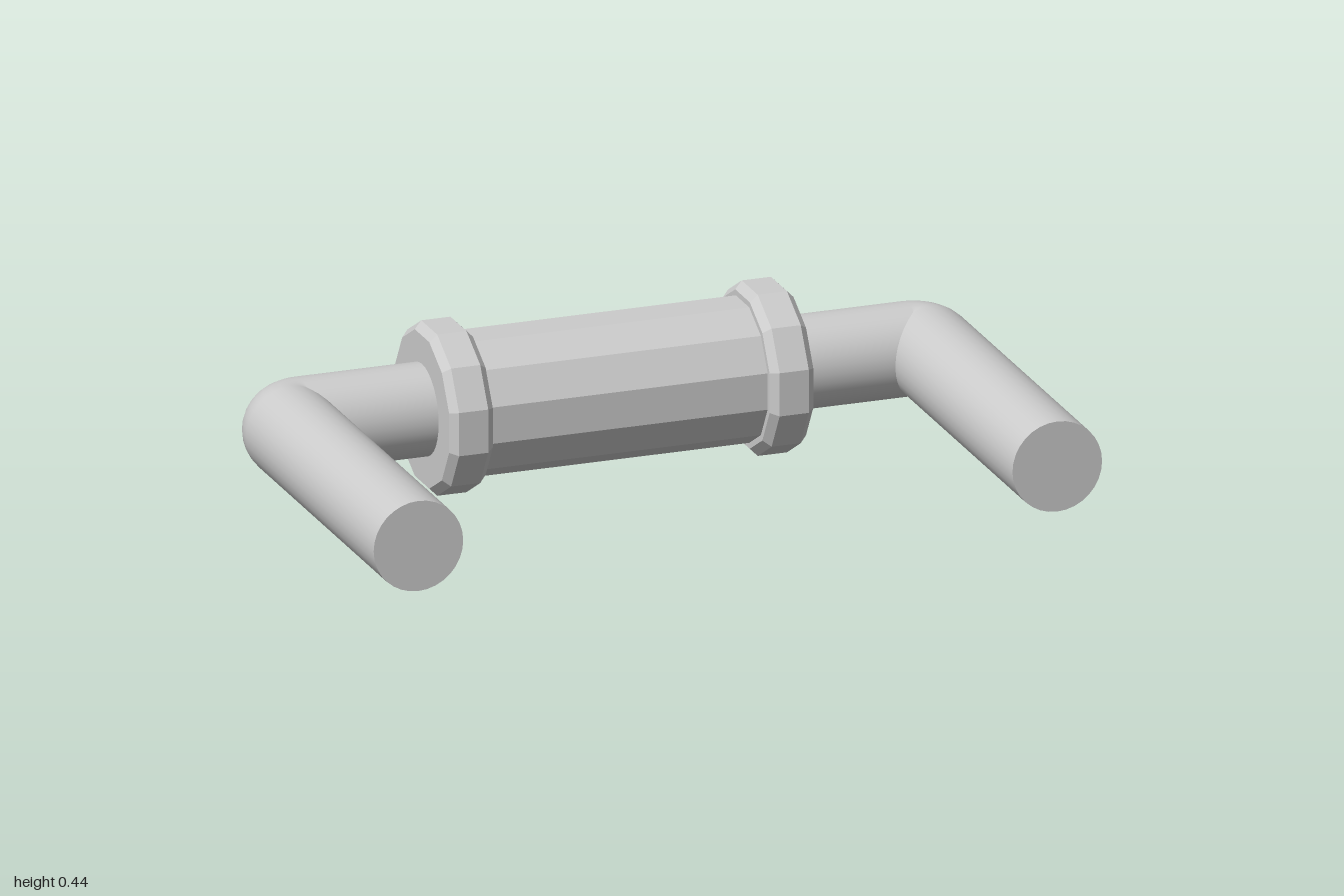
import * as THREE from 'three';

const Y = 0.22;        // height of the pipe axis
const Z = -0.383;      // depth of the cross pipe axis
const R = 0.123;       // pipe radius
const BEND = 0.045;    // centreline radius of the elbows
const LEG_X = 0.877;   // leg axis
const FRONT = 0.603;   // open end of the legs
const SIDES = 32;

const smooth = new THREE.MeshStandardMaterial({ color: 0xcccccc });
const faceted = new THREE.MeshStandardMaterial({ color: 0xcccccc, flatShading: true });

function add(parent, name, geometry, material, x, y, z) {
  const mesh = new THREE.Mesh(geometry, material);
  mesh.name = name;
  mesh.position.set(x, y, z);
  parent.add(mesh);
}

// Twelve-sided turned part along x; points are [apothem, x], flats facing up and down
function turned(points) {
  const k = 1 / Math.cos(Math.PI / 12);
  const profile = points.map(([a, x]) => new THREE.Vector2(a * k, x));
  return new THREE.LatheGeometry(profile, 12).rotateY(Math.PI / 12).rotateZ(-Math.PI / 2);
}

export function createModel() {
  const model = new THREE.Group();
  model.name = 'pipeHandle';

  // Central grip
  add(model, 'gripSleeve', turned([[0.185, -0.4], [0.185, 0.4]]), faceted, 0, Y, Z);

  // Chamfered collar, closed at both ends
  const collar = turned([
    [0, -0.06], [0.2, -0.06], [0.22, -0.04], [0.22, 0.04], [0.2, 0.06], [0, 0.06],
  ]);

  const pivotX = LEG_X - BEND;
  const pivotZ = Z + BEND;
  for (const side of [1, -1]) {
    const label = side > 0 ? 'left' : 'right';
    add(model, label + 'Collar', collar, faceted, side * 0.44, Y, Z);

    // Cross pipe from inside the collar to the elbow
    const crossLength = pivotX - 0.4;
    const cross = new THREE.CylinderGeometry(R, R, crossLength, SIDES, 1, true).rotateZ(Math.PI / 2);
    add(model, label + 'CrossPipe', cross, smooth, side * (0.4 + crossLength / 2), Y, Z);

    // Tight quarter-turn elbow
    const elbow = new THREE.TorusGeometry(BEND, R, SIDES, 12, Math.PI / 2)
      .rotateZ(side > 0 ? 0 : Math.PI / 2).rotateX(-Math.PI / 2);
    add(model, label + 'Elbow', elbow, smooth, side * pivotX, Y, pivotZ);

    // Leg running forward, capped at its front end
    const legLength = FRONT - pivotZ;
    const leg = new THREE.CylinderGeometry(R, R, legLength, SIDES).rotateX(Math.PI / 2);
    add(model, label + 'Leg', leg, smooth, side * LEG_X, Y, pivotZ + legLength / 2);
  }
  return model;
}
